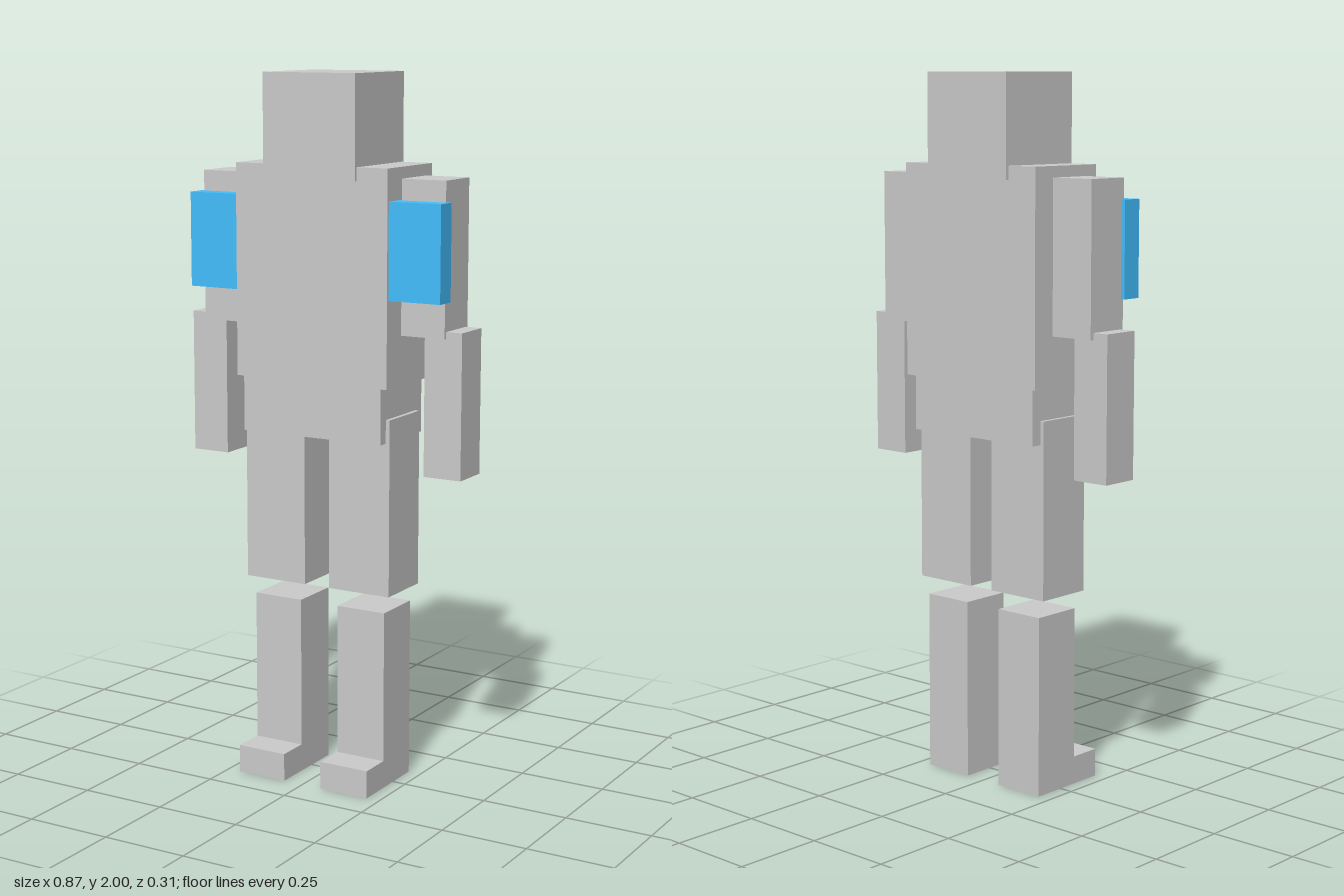
import * as THREE from 'three';

export function createModel() {
  const model = new THREE.Group();
  const grey = new THREE.MeshStandardMaterial({ color: 0xcccccc, flatShading: true });
  const blue = new THREE.MeshStandardMaterial({ color: 0x43bfff, flatShading: true });

  // Box between two limits on each axis
  function block(name, [x0, x1], [y0, y1], [z0, z1], parent = model, material = grey) {
    const mesh = new THREE.Mesh(new THREE.BoxGeometry(x1 - x0, y1 - y0, z1 - z0), material);
    mesh.name = name;
    mesh.position.set((x0 + x1) / 2, (y0 + y1) / 2, (z0 + z1) / 2);
    parent.add(mesh);
  }

  // Head and trunk
  block('head', [-0.145, 0.145], [1.715, 2], [-0.157, 0.112]);
  block('torso', [-0.24, 0.24], [1.156, 1.752], [-0.147, 0.103]);
  block('pelvis', [-0.22, 0.22], [1, 1.156], [-0.134, 0.1]);

  // Arms and legs, one of each per side
  for (const [side, s] of [['left', 1], ['right', -1]]) {
    const span = (a, b) => (s > 0 ? [a, b] : [-b, -a]);

    const arm = new THREE.Group();
    arm.name = `${side}Arm`;
    block(`${side}UpperArm`, span(0.252, 0.385), [1.298, 1.722], [-0.089, 0.045], arm);
    block(`${side}Forearm`, span(0.32, 0.433), [0.912, 1.317], [-0.078, 0.036], arm);
    block(`${side}ArmPlate`, span(0.24, 0.397), [1.398, 1.664], [0.036, 0.096], arm, blue);

    const leg = new THREE.Group();
    leg.name = `${side}Leg`;
    block(`${side}Thigh`, span(0.04, 0.232), [0.566, 1.066], [-0.101, 0.07], leg);
    block(`${side}Shin`, span(0.06, 0.211), [0.08, 0.514], [-0.094, 0.058], leg);
    block(`${side}Foot`, span(0.06, 0.211), [0, 0.08], [-0.094, 0.153], leg);

    model.add(arm, leg);
  }
  return model;
}
